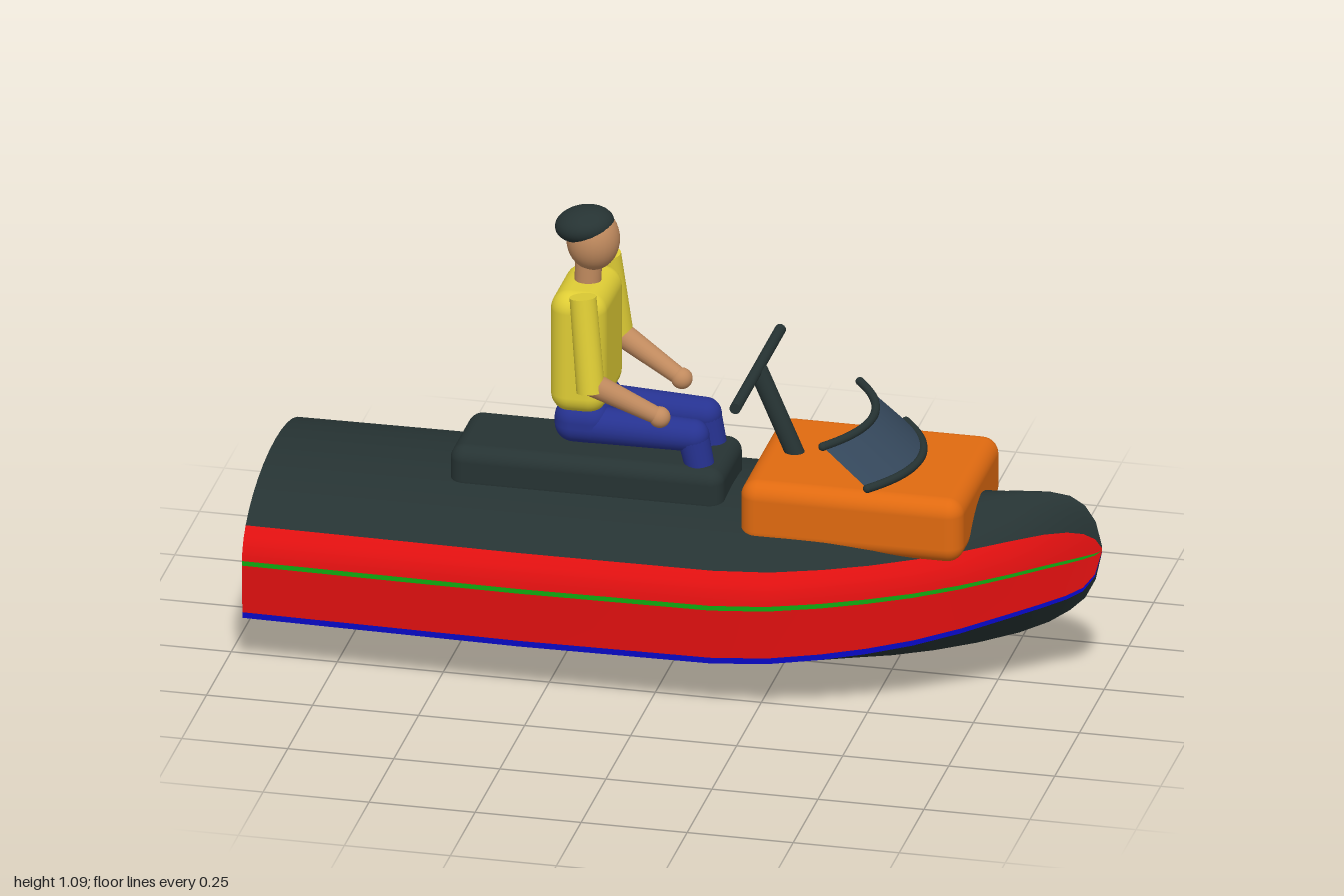
import * as THREE from 'three';
import { RoundedBoxGeometry } from 'three/addons/geometries/RoundedBoxGeometry.js';

const paint = (name, color, side = THREE.FrontSide) =>
  new THREE.MeshStandardMaterial({ name, color, side });
const V = (x, y, z) => new THREE.Vector3(x, y, z);

// Hull stations: x, half beam, keel y, chine y, gunwale y, deck top y
const STATIONS = [
  [-0.955, 0.335, 0, 0.125, 0.27, 0.43],
  [-0.3, 0.348, 0, 0.125, 0.272, 0.43],
  [0.15, 0.347, 0, 0.128, 0.275, 0.43],
  [0.28, 0.335, 0.006, 0.134, 0.28, 0.433],
  [0.4, 0.303, 0.018, 0.143, 0.286, 0.44],
  [0.5, 0.268, 0.035, 0.153, 0.292, 0.446],
  [0.6, 0.225, 0.058, 0.166, 0.298, 0.454],
  [0.7, 0.172, 0.087, 0.184, 0.306, 0.463],
  [0.8, 0.112, 0.123, 0.206, 0.317, 0.478],
  [0.87, 0.07, 0.157, 0.222, 0.327, 0.485],
  [0.92, 0.042, 0.192, 0.236, 0.334, 0.479],
  [0.955, 0.022, 0.226, 0.252, 0.339, 0.458],
  [0.98, 0.008, 0.275, 0.285, 0.343, 0.42],
  [0.995, 0, 0.345, 0.347, 0.35, 0.36],
];

// Closed cross-section: keel, up the left side, over the deck, down the right side
function section([x, w, keel, chine, gun, top]) {
  const k = 1 + 0.35 * THREE.MathUtils.smoothstep(x, 0.4, 0.9); // deck gets more peaked forward
  const edge = Math.asin(Math.pow(0.46, 1 / k));
  const side = gun - chine;
  const half = [V(x, keel, 0), V(x, chine, w * 0.985), V(x, chine + side * 0.1, w * 0.988),
    V(x, gun - side * 0.08, w), V(x, gun, w)];
  const crown = (a) => half.push(V(x, gun + (top - gun) * Math.sin(a) ** k,
    w * Math.max(0, Math.cos(a)) ** k));
  for (let i = 1; i <= 3; i++) crown(edge * i / 3);
  for (let i = 1; i <= 6; i++) crown(edge + (Math.PI / 2 - edge) * i / 6);
  const mirrored = half.slice(0, -1).reverse().map((p) => V(p.x, p.y, -p.z));
  return [...half, ...mirrored];
}

// Surface through rows of points
function grid(rows) {
  const n = rows[0].length, index = [];
  for (let i = 0; i < rows.length - 1; i++) {
    for (let j = 0; j < n - 1; j++) {
      const a = i * n + j, b = a + n;
      index.push(a, b, b + 1, a, b + 1, a + 1);
    }
  }
  const g = new THREE.BufferGeometry().setFromPoints(rows.flat());
  g.setIndex(index);
  g.computeVertexNormals();
  return g;
}

export function createModel() {
  const model = new THREE.Group();
  model.name = 'personalWatercraft';
  const dark = paint('dark slate', 0x263333);
  const red = paint('red', 0xe01010);
  const blue = paint('blue', 0x0808c8);
  const green = paint('green', 0x10a810);
  const orange = paint('orange', 0xe06a10);
  const glass = paint('tinted glass', 0x35485c, THREE.DoubleSide);
  const yellow = paint('yellow', 0xdfcd35);
  const skin = paint('skin', 0xc08a5e);
  const navy = paint('navy', 0x263290);

  const add = (name, geometry, material, x = 0, y = 0, z = 0, parent = model) => {
    const m = new THREE.Mesh(geometry, material);
    m.name = name;
    m.position.set(x, y, z);
    parent.add(m);
    return m;
  };
  const box = (name, mat, x0, x1, y0, y1, hz, r, parent) =>
    add(name, new RoundedBoxGeometry(x1 - x0, y1 - y0, hz * 2, 5, r), mat,
      (x0 + x1) / 2, (y0 + y1) / 2, 0, parent);
  const ball = (name, mat, p, r, parent, sx = 1, sy = 1, sz = 1) => {
    const m = add(name, new THREE.SphereGeometry(r, 28, 20), mat, p.x, p.y, p.z, parent);
    m.scale.set(sx, sy, sz);
    return m;
  };
  // Tapered rod from a to b
  const rod = (name, mat, a, b, ra, rb, parent) => {
    const dir = b.clone().sub(a), mid = a.clone().add(b).multiplyScalar(0.5);
    const m = add(name, new THREE.CylinderGeometry(rb, ra, dir.length(), 24), mat,
      mid.x, mid.y, mid.z, parent);
    m.quaternion.setFromUnitVectors(V(0, 1, 0), dir.normalize());
    return m;
  };

  // Hull bands, each with its slice of the transom
  const hull = new THREE.Group();
  hull.name = 'hull';
  model.add(hull);
  const rows = STATIONS.map(section);
  const last = rows[0].length - 1;
  const band = (name, mat, from, to) => {
    const cut = rows.map((r) => r.slice(from, to + 1));
    add(name, grid(cut), mat, 0, 0, 0, hull);
    const centre = cut[0].map((p) => V(p.x, 0.275, 0));
    add(name + 'Transom', grid([centre, cut[0]]), mat, 0, 0, 0, hull);
  };
  [['bottom', dark, 0, 1], ['chineStripe', blue, 1, 2], ['lowerSide', red, 2, 3],
    ['sideStripe', green, 3, 4], ['upperSide', red, 4, 7]].forEach(([name, mat, a, b]) => {
    band(name + 'Left', mat, a, b);
    band(name + 'Right', mat, last - b, last - a);
  });
  band('deck', dark, 7, last - 7);
  add('sternPlate', new THREE.BoxGeometry(0.05, 0.056, 0.29), dark, -0.97, 0.118, 0);

  // Seat and console
  box('seat', dark, -0.52, 0.125, 0.39, 0.505, 0.12, 0.035);
  box('console', orange, 0.185, 0.71, 0.367, 0.525, 0.21, 0.04);

  // Steering
  rod('steeringColumn', dark, V(0.28, 0.5, 0), V(0.185, 0.72, 0), 0.022, 0.022);
  rod('handlebar', dark, V(0.183, 0.723, -0.23), V(0.183, 0.723, 0.23), 0.013, 0.013);

  // Curved windscreen between two rims
  const arc = (x, y, z, bulge) => new THREE.QuadraticBezierCurve3(
    V(x, y, z), V(x + bulge * 2, y, 0), V(x, y, -z));
  const lower = arc(0.487, 0.538, 0.195, 0.08);
  const upper = arc(0.38, 0.63, 0.188, 0.075);
  add('windscreen', grid([lower.getPoints(24), upper.getPoints(24)]), glass);
  [['lowerRim', lower], ['upperRim', upper]].forEach(([name, c]) => {
    add(name, new THREE.TubeGeometry(c, 32, 0.01, 10), dark);
    [c.v0, c.v2].forEach((p) => ball(name + 'End', dark, p, 0.01, model));
  });

  // Rider
  const rider = new THREE.Group();
  rider.name = 'rider';
  model.add(rider);
  box('torso', yellow, -0.287, -0.155, 0.61, 0.91, 0.115, 0.045, rider);
  box('hips', navy, -0.28, -0.15, 0.53, 0.635, 0.108, 0.045, rider);
  rod('neck', skin, V(-0.218, 0.89, 0), V(-0.215, 0.97, 0), 0.031, 0.031, rider);
  ball('head', skin, V(-0.205, 1.012, 0), 0.062, rider, 1, 1.2, 1);
  const hair = ball('hair', dark, V(-0.225, 1.047, 0), 0.066, rider, 1.05, 0.62, 1);
  hair.rotation.z = 0.15;

  for (const s of [1, -1]) {
    const shoulder = V(-0.2, 0.92, s * 0.125), elbow = V(-0.178, 0.715, s * 0.147);
    const hand = V(-0.022, 0.63, s * 0.112);
    const hip = V(-0.23, 0.575, s * 0.063), knee = V(0.045, 0.57, s * 0.063);
    const foot = V(0.062, 0.49, s * 0.063);
    rod('upperArm', yellow, shoulder, V(-0.176, 0.695, s * 0.149), 0.031, 0.033, rider);
    ball('elbow', skin, elbow, 0.03, rider);
    rod('forearm', skin, elbow, hand, 0.029, 0.02, rider);
    ball('hand', skin, hand, 0.025, rider);
    rod('thigh', navy, hip, knee, 0.045, 0.038, rider);
    ball('knee', navy, knee, 0.038, rider);
    rod('lowerLeg', navy, knee, foot, 0.037, 0.034, rider);
  }
  return model;
}
